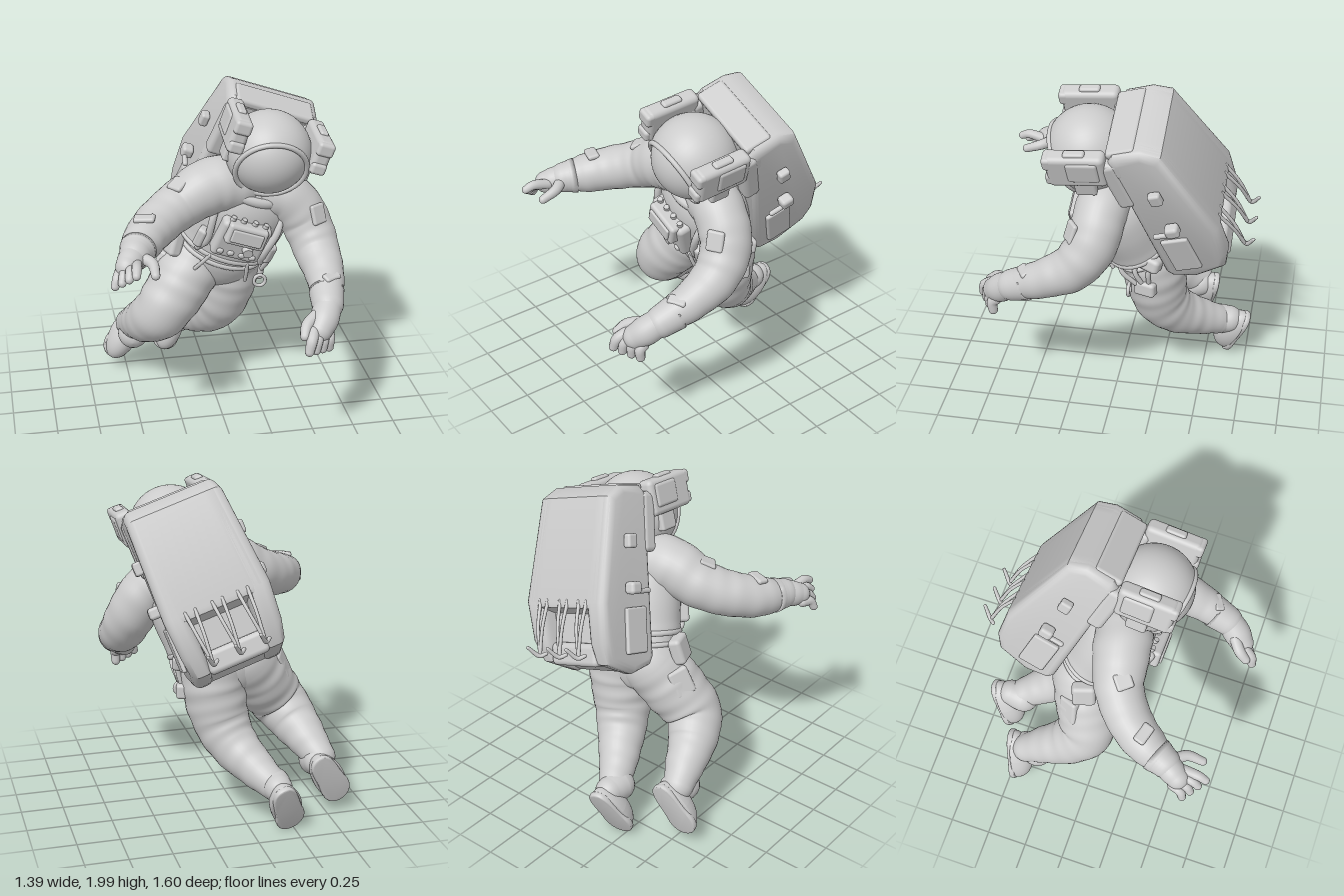
import * as THREE from 'three';
import { toCreasedNormals } from 'three/addons/utils/BufferGeometryUtils.js';
import { RoundedBoxGeometry } from 'three/addons/geometries/RoundedBoxGeometry.js';

const V = (x, y, z) => new THREE.Vector3(x, y, z);
const grey = new THREE.MeshStandardMaterial({ color: 0xcccccc });
const greyDouble = new THREE.MeshStandardMaterial({ color: 0xcccccc, side: THREE.DoubleSide });

function add(parent, name, geometry, pos = [0, 0, 0], material = grey) {
  const mesh = new THREE.Mesh(geometry, material);
  mesh.name = name;
  mesh.position.set(...pos);
  parent.add(mesh);
  return mesh;
}

// Group whose local x and y follow the given directions
function frame(parent, name, pos, right, up) {
  const g = new THREE.Group(), y = up.clone().normalize();
  const z = right.clone().cross(y).normalize(), x = y.clone().cross(z);
  g.quaternion.setFromRotationMatrix(new THREE.Matrix4().makeBasis(x, y, z));
  g.position.set(...pos);
  g.name = name;
  parent.add(g);
  return g;
}

// Round-ended tube through [x, y, z, radius] points, with fabric folds
function limb(parent, name, pts, fold = 0, rings = 70, sides = 32) {
  const path = new THREE.CatmullRomCurve3(pts.map(p => V(p[0], p[1], p[2])), false, 'catmullrom', 0.5);
  const radii = new THREE.CatmullRomCurve3(pts.map(p => V(p[3], 0, 0)), false, 'catmullrom', 0.5);
  const F = path.computeFrenetFrames(rings), pos = [], idx = [];
  const ring = (i, shift, k) => {
    const u = i / rings, c = path.getPointAt(u), r = radii.getPoint(path.getUtoTmapping(u)).x;
    c.addScaledVector(F.tangents[i], shift * r);
    for (let j = 0; j < sides; j++) {
      const a = j / sides * Math.PI * 2;
      const w = fold * (Math.sin(u * 52 + 1.6 * Math.sin(a)) * 0.6 + Math.sin(u * 31 + 2 * Math.cos(a + 1)) * 0.6);
      const q = r * k * (1 + w);
      const p = c.clone().addScaledVector(F.normals[i], q * Math.cos(a)).addScaledVector(F.binormals[i], q * Math.sin(a));
      pos.push(p.x, p.y, p.z);
    }
  };
  for (let k = 0; k < 6; k++) { const a = (1 - k / 6) * 1.565; ring(0, -Math.sin(a), Math.cos(a)); }
  for (let i = 0; i <= rings; i++) ring(i, 0, 1);
  for (let k = 1; k <= 6; k++) { const a = k / 6 * 1.565; ring(rings, Math.sin(a), Math.cos(a)); }
  const n = pos.length / 3 / sides;
  for (let i = 0; i < n - 1; i++) for (let j = 0; j < sides; j++) {
    const a = i * sides + j, b = i * sides + (j + 1) % sides;
    idx.push(a, b, a + sides, b, b + sides, a + sides);
  }
  const g = new THREE.BufferGeometry();
  g.setAttribute('position', new THREE.Float32BufferAttribute(pos, 3));
  g.setIndex(idx);
  g.computeVertexNormals();
  return add(parent, name, g);
}

const rbox = (w, h, d, r = 0.015) => new RoundedBoxGeometry(w, h, d, 3, Math.min(r, w / 2.1, h / 2.1, d / 2.1));
// Small box whose thickness points along dir
function pad(parent, name, size, pos, dir, roll = 0) {
  const m = add(parent, name, rbox(...size), pos);
  m.lookAt(V(...pos).add(V(...dir)));
  m.rotateZ(roll);
  return m;
}

function fingers(parent, baseA, baseB, tipA, tipB, r) {
  for (let i = 0; i < 4; i++) {
    const a = V(...baseA).lerp(V(...baseB), i / 3), b = V(...tipA).lerp(V(...tipB), i / 3);
    const m = a.clone().lerp(b, 0.55).add(V(0, 0.018, 0.012));
    limb(parent, 'finger', [[...a, r * 1.1], [...m, r], [...b, r * 0.85]], 0, 12, 12);
  }
}

// Side outline [depth, height] extruded from u0 to u1 across the pack
function slab(parent, name, outline, u0, u1, bevel) {
  const shape = new THREE.Shape(outline.map(([s, v]) => new THREE.Vector2(-s, v)));
  const g = new THREE.ExtrudeGeometry(shape, { depth: u1 - u0 - 2 * bevel, steps: 8, bevelThickness: bevel, bevelSize: bevel, bevelOffset: -bevel, bevelSegments: 4 });
  g.translate(0, 0, u0 + bevel).rotateY(Math.PI / 2);
  const p = g.attributes.position;
  for (let i = 0; i < p.count; i++) {
    const v = p.getY(i);
    p.setX(i, p.getX(i) * (1 - 0.4 * Math.max(0, v - 0.2) - 0.5 * Math.max(0, -v - 0.25)));
  }
  return add(parent, name, toCreasedNormals(g, 0.7));
}

function boot(parent, name, centre, toe, up) {
  const t = V(...toe).normalize();
  const g = frame(parent, name, centre, V(...up).cross(t), V(...up).addScaledVector(t, -V(...up).dot(t)));
  const s = new THREE.Shape();
  s.moveTo(0, -0.175);
  s.bezierCurveTo(0.09, -0.175, 0.06, -0.03, 0.08, 0.06);
  s.bezierCurveTo(0.1, 0.21, -0.1, 0.21, -0.08, 0.06);
  s.bezierCurveTo(-0.06, -0.03, -0.09, -0.175, 0, -0.175);
  const sole = new THREE.ExtrudeGeometry(s, { depth: 0.015, bevelThickness: 0.01, bevelSize: 0.008, bevelSegments: 3, curveSegments: 20 });
  add(g, 'sole', toCreasedNormals(sole.rotateX(Math.PI / 2), 0.7), [0, 0.015, 0]);
  const upper = new THREE.SphereGeometry(1, 36, 24);
  upper.scale(0.095, 0.115, 0.18);
  const p = upper.attributes.position;
  for (let i = 0; i < p.count; i++) if (p.getY(i) < 0) p.setY(i, p.getY(i) * 0.2);
  upper.computeVertexNormals();
  add(g, 'bootUpper', upper, [0, 0.02, 0]);
  limb(g, 'heelCuff', [[0, 0.095, -0.09, 0.082], [0, 0.13, -0.07, 0.09], [0, 0.17, -0.045, 0.095]], 0, 16);
}

export function createModel() {
  const model = new THREE.Group();
  model.name = 'astronaut';
  const right = V(0.944, -0.33, 0), up = V(0.31, 0.89, 0.33);

  // Torso: soft hips below, hard shell above
  const torso = frame(model, 'torso', [0.03, 0.88, -0.17], right, up);
  const lathe = (name, prof, depth) => add(torso, name, new THREE.LatheGeometry(
    new THREE.SplineCurve(prof.map(p => new THREE.Vector2(...p))).getPoints(40), 48).scale(1, 1, depth));
  lathe('hips', [[0.001, -0.17], [0.14, -0.14], [0.23, -0.05], [0.26, 0.05], [0.255, 0.14], [0.24, 0.22]], 0.76);
  lathe('chestShell', [[0.24, 0.17], [0.29, 0.18], [0.295, 0.25], [0.3, 0.38], [0.285, 0.5], [0.235, 0.59], [0.15, 0.66]], 0.77);
  const ringZ = (name, r, tube, v, depth) => add(torso, name,
    new THREE.TorusGeometry(r, tube, 12, 56).rotateX(Math.PI / 2).scale(1, 1, depth), [0, v, 0]);
  ringZ('waistRing', 0.285, 0.018, 0.18, 0.78);
  ringZ('belt', 0.258, 0.015, 0.11, 0.77);
  ringZ('neckRing', 0.19, 0.03, 0.61, 0.85);

  // Chest control unit
  add(torso, 'chestUnitBase', rbox(0.3, 0.26, 0.1, 0.03), [0, 0.37, 0.22]);
  add(torso, 'chestUnitTop', rbox(0.24, 0.13, 0.12, 0.02), [0, 0.44, 0.25]).rotation.x = -0.25;
  add(torso, 'displayPanel', rbox(0.19, 0.08, 0.02), [0, 0.455, 0.312]).rotation.x = -0.25;
  for (const x of [-0.1, -0.035, 0.035, 0.1]) {
    add(torso, 'controlKnob', new THREE.CylinderGeometry(0.016, 0.018, 0.03, 16), [x, 0.51, 0.23]);
    add(torso, 'lowerSwitch', rbox(0.04, 0.035, 0.04), [x, 0.29, 0.265]);
  }
  add(torso, 'hoseFitting', new THREE.CylinderGeometry(0.03, 0.034, 0.06, 20).rotateX(Math.PI / 2), [0.05, 0.345, 0.28]);
  for (const s of [-1, 1]) {
    limb(torso, 'harnessStrap', [[s * 0.19, 0.58, 0.08, 0.02], [s * 0.2, 0.46, 0.185, 0.022], [s * 0.18, 0.3, 0.21, 0.022], [s * 0.2, 0.2, 0.18, 0.018]], 0, 24, 10);
    add(torso, 'sideLatch', rbox(0.06, 0.13, 0.08, 0.02), [s * 0.21, 0.29, 0.18]).rotation.y = s * 0.5;
    limb(torso, 'waistStrap', [[s * 0.12, 0.18, 0.21, 0.012], [s * 0.14, 0.12, 0.21, 0.012], [s * 0.16, 0.05, 0.2, 0.012]], 0, 12, 8);
  }

  // Helmet: visor bubble inside an outer hood, facing slightly down
  const helmet = frame(model, 'helmet', [0.283, 1.66, 0.14], V(0.97, -0.1, 0.1), V(-0.08, -0.45, 0.89));
  add(helmet, 'visor', new THREE.SphereGeometry(0.235, 48, 32));
  add(helmet, 'hood', new THREE.SphereGeometry(0.246, 48, 32, 0, Math.PI * 2, 0.97, Math.PI - 0.97), [0, 0, 0], greyDouble);
  add(helmet, 'visorRim', new THREE.TorusGeometry(0.204, 0.015, 12, 56).rotateX(Math.PI / 2), [0, 0.137, 0]);

  // Lamp and camera housings either side of the helmet
  for (const [s, x, y, z] of [[-1, 0.085, 1.84, 0.16], [1, 0.555, 1.68, 0.16]]) {
    const g = frame(model, s < 0 ? 'rightLampUnit' : 'leftLampUnit', [x, y, z], right, V(0.31, 0.94, 0.1));
    add(g, 'housing', rbox(0.1, 0.21, 0.33, 0.03));
    add(g, 'sidePlate', rbox(0.06, 0.14, 0.18, 0.02), [s * 0.03, 0.01, -0.04]);
    add(g, 'frontLamp', rbox(0.1, 0.08, 0.06, 0.02), [0, 0.06, 0.15]);
    add(g, 'lowerLamp', rbox(0.09, 0.07, 0.06, 0.02), [0, -0.06, 0.15]);
    add(g, 'topClip', rbox(0.05, 0.04, 0.12), [0, 0.1, 0]);
    add(g, 'bracket', rbox(0.05, 0.16, 0.12), [-s * 0.01, -0.13, -0.02]);
    add(g, 'mountArm', rbox(0.07, 0.1, 0.16, 0.02), [0, 0, -0.18]);
  }

  // Life support pack with recessed lower back
  const pack = frame(model, 'backpack', [0.215, 1.46, -0.335], right, up);
  const upper = [[0.2, -0.46], [0.18, 0.47], [0.14, 0.51], [-0.02, 0.51], [-0.12, 0.45], [-0.24, -0.13]];
  slab(pack, 'packCore', [...upper, [-0.235, -0.16], [-0.14, -0.2], [-0.13, -0.46], [0.04, -0.54], [0.18, -0.5]], -0.27, 0.27, 0.01);
  const cheek = [...upper, [-0.215, -0.36], [-0.16, -0.48], [0.04, -0.55], [0.18, -0.51]];
  slab(pack, 'rightPackSide', cheek, -0.315, -0.17, 0.045);
  slab(pack, 'leftPackSide', cheek, 0.18, 0.315, 0.045);
  add(pack, 'topCover', rbox(0.48, 0.05, 0.17, 0.02), [0, 0.495, 0.1]);
  add(pack, 'lowerLocker', rbox(0.36, 0.13, 0.12, 0.03), [0, -0.43, -0.12]);
  for (const s of [-1, 1]) {
    add(pack, 'sideBox', rbox(0.05, 0.08, 0.07), [s * 0.31, 0.2, 0]);
    add(pack, 'sideValve', rbox(0.07, 0.07, 0.08, 0.02), [s * 0.32, -0.06, 0]);
    add(pack, 'valveLever', rbox(0.03, 0.03, 0.14), [s * 0.33, -0.08, 0.05]);
    add(pack, 'sidePanel', rbox(0.03, 0.26, 0.16, 0.012), [s * 0.29, -0.3, 0.04]);
    add(pack, 'shoulderMount', rbox(0.1, 0.34, 0.1, 0.03), [s * 0.24, 0.3, 0.19]);
  }
  // Hanging tether straps
  for (const u of [-0.15, 0.0, 0.16]) {
    for (const d of [-0.03, 0.03])
      limb(pack, 'tetherStrap', [[u + d, -0.12, -0.23, 0.011], [u + d * 0.6, -0.27, -0.27, 0.01], [u, -0.42, -0.28, 0.011]], 0, 14, 8);
    limb(pack, 'tetherHook', [[u - 0.03, -0.42, -0.26, 0.011], [u, -0.43, -0.29, 0.013], [u + 0.02, -0.38, -0.35, 0.01]], 0, 12, 8);
  }

  // Arms
  limb(model, 'leftArm', [[0.3, 1.38, 0.03, 0.155], [0.43, 1.33, 0.06, 0.15], [0.525, 1.19, 0.09, 0.147], [0.57, 1.05, 0.19, 0.135],
    [0.58, 0.96, 0.36, 0.112], [0.555, 0.89, 0.52, 0.09]], 0.014);
  limb(model, 'rightArm', [[0.12, 1.45, 0.04, 0.165], [-0.05, 1.445, 0.07, 0.165], [-0.24, 1.36, 0.12, 0.142], [-0.39, 1.3, 0.24, 0.13],
    [-0.48, 1.265, 0.37, 0.115], [-0.53, 1.25, 0.48, 0.085]], 0.014);
  limb(model, 'leftCuff', [[0.565, 0.91, 0.46, 0.102], [0.55, 0.875, 0.55, 0.092]], 0, 10);
  limb(model, 'rightCuff', [[-0.51, 1.255, 0.43, 0.104], [-0.535, 1.25, 0.49, 0.09]], 0, 10);
  pad(model, 'leftSleevePatch', [0.1, 0.12, 0.03], [0.57, 1.28, 0.2], [0.5, 0.3, 0.8]);
  pad(model, 'rightSleevePatch', [0.1, 0.1, 0.03], [-0.24, 1.505, 0.145], [-0.3, 0.9, 0.25]);
  pad(model, 'leftWristPad', [0.11, 0.06, 0.03], [0.59, 1.005, 0.47], [0.2, 0.9, 0.35]);
  pad(model, 'rightWristPad', [0.12, 0.07, 0.03], [-0.46, 1.395, 0.34], [-0.1, 0.98, 0.1], 0.5);

  // Gloves
  limb(model, 'leftPalm', [[0.545, 0.87, 0.57, 0.08], [0.51, 0.82, 0.63, 0.084], [0.475, 0.78, 0.675, 0.072]], 0, 20);
  fingers(model, [0.43, 0.79, 0.71], [0.53, 0.75, 0.66], [0.395, 0.7, 0.77], [0.53, 0.67, 0.68], 0.032);
  limb(model, 'leftThumb', [[0.46, 0.85, 0.63, 0.035], [0.4, 0.82, 0.68, 0.034], [0.375, 0.78, 0.73, 0.027]], 0, 14, 14);
  limb(model, 'rightPalm', [[-0.54, 1.25, 0.5, 0.075], [-0.57, 1.235, 0.55, 0.075], [-0.59, 1.225, 0.585, 0.066]], 0, 20);
  fingers(model, [-0.54, 1.24, 0.6], [-0.63, 1.19, 0.57], [-0.56, 1.24, 0.74], [-0.665, 1.14, 0.64], 0.028);
  limb(model, 'rightThumb', [[-0.51, 1.25, 0.53, 0.035], [-0.455, 1.24, 0.6, 0.031], [-0.45, 1.21, 0.69, 0.025]], 0, 14, 14);

  // Legs and boots
  limb(model, 'leftLeg', [[0.13, 0.9, -0.2, 0.185], [0.12, 0.76, -0.21, 0.185], [0.085, 0.58, -0.24, 0.168], [0.03, 0.45, -0.32, 0.145],
    [-0.06, 0.35, -0.46, 0.115], [-0.13, 0.29, -0.58, 0.09]], 0.016, 90);
  limb(model, 'rightLeg', [[-0.07, 0.92, -0.17, 0.18], [-0.18, 0.78, -0.11, 0.188], [-0.31, 0.61, -0.065, 0.172], [-0.385, 0.5, -0.16, 0.148],
    [-0.44, 0.41, -0.31, 0.115], [-0.475, 0.35, -0.41, 0.09]], 0.016, 90);
  boot(model, 'leftBoot', [-0.19, 0.175, -0.69], [-0.3, -0.83, 0.42], [0.18, 0.37, 0.91]);
  boot(model, 'rightBoot', [-0.51, 0.24, -0.5], [-0.5, -0.82, 0.22], [0.15, 0.2, 0.95]);

  // Belt pouches and tether gear
  pad(model, 'rightHipPouch', [0.14, 0.16, 0.08, 0.025], [-0.235, 1.04, -0.1], [-0.9, 0.3, 0.3]);
  pad(model, 'rightThighPouch', [0.13, 0.17, 0.06, 0.02], [-0.3, 0.87, -0.17], [-0.85, 0.35, -0.5], 0.3);
  pad(model, 'leftHipPouch', [0.24, 0.09, 0.09, 0.025], [0.3, 0.97, -0.16], [0.9, 0.1, 0.3], -0.2);
  pad(model, 'leftTetherReel', [0.13, 0.09, 0.07, 0.02], [0.3, 0.77, -0.18], [0.95, 0, 0.3]);
  for (const z of [-0.22, -0.14, -0.06])
    limb(model, 'hipTether', [[0.29, 1.0, z, 0.016], [0.33, 0.9, z + 0.02, 0.015], [0.31, 0.8, z * 0.5 - 0.09, 0.014]], 0, 14, 10);
  add(model, 'tetherRing', new THREE.TorusGeometry(0.035, 0.011, 10, 24), [0.29, 0.74, -0.08]);
  return model;
}
